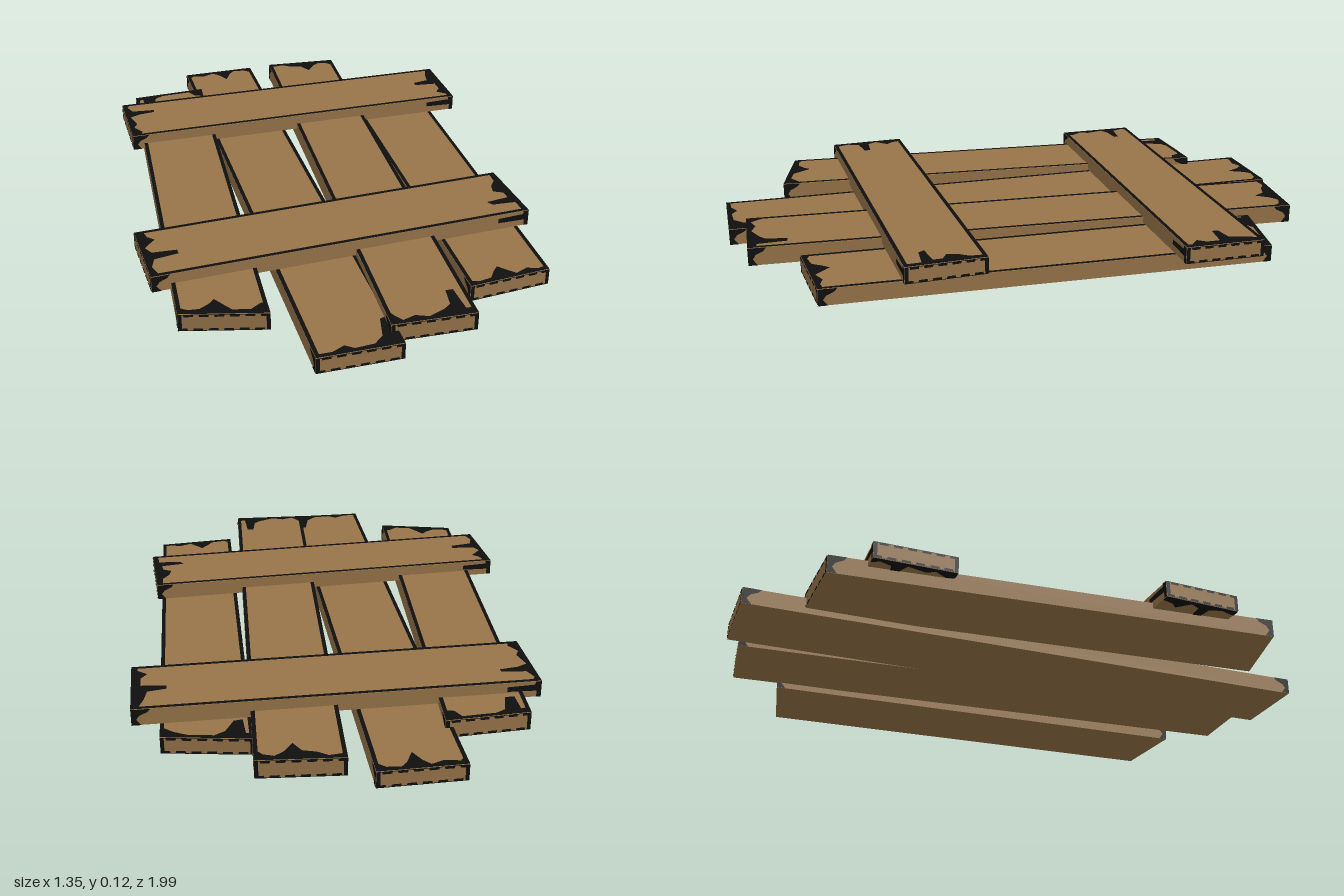
import * as THREE from 'three';
import { mergeGeometries } from 'three/addons/utils/BufferGeometryUtils.js';

const wood = new THREE.MeshStandardMaterial({ color: 0x98754a });
wood.name = 'brown wood';
const char = new THREE.MeshStandardMaterial({ color: 0x0f0f0f });
char.name = 'black edge';

// Black ribbon on a quad face, growing inward from the edge q[0]-q[1].
// profile: [position along the edge 0..1, depth in units]
function ribbon(q, profile) {
  const [s, e, fe, fs] = q;
  const normal = e.clone().sub(s).cross(fs.clone().sub(s)).normalize();
  const pos = [], nor = [], index = [];
  profile.forEach(([u, depth], i) => {
    const near = s.clone().lerp(e, u);
    const far = fs.clone().lerp(fe, u);
    const inner = near.clone().lerp(far, depth / near.distanceTo(far));
    for (const p of [near, inner]) {
      p.addScaledVector(normal, 0.0015);
      pos.push(p.x, p.y, p.z);
      nor.push(normal.x, normal.y, normal.z);
    }
    if (i) {
      const k = 2 * i;
      index.push(k - 2, k, k + 1, k - 2, k + 1, k - 1);
    }
  });
  const g = new THREE.BufferGeometry();
  g.setAttribute('position', new THREE.Float32BufferAttribute(pos, 3));
  g.setAttribute('normal', new THREE.Float32BufferAttribute(nor, 3));
  g.setIndex(index);
  return g;
}

const turn = (q, k) => q.map((_, i) => q[(i + k) % 4]);
const flip = (profile) => profile.map(([u, d]) => [1 - u, d]).reverse();
const line = (d) => [[0, d], [1, d]];

// Broken outline used along the top and bottom of the cut ends
const dashes = [];
for (let i = 0; i < 6; i++) {
  const u = i / 6;
  dashes.push([u, 0.009], [u + 0.1, 0.009], [u + 0.105, 0.002], [u + 0.16, 0.002]);
}
dashes.push([1, 0.009]);
const sideWear = [[0, 0.03], [0.35, 0.015], [0.6, 0.025], [0.8, 0.05], [1, 0.06]];
const sideStreak = [[0, 0.015], [0.4, 0.015], [0.45, 0.11], [0.75, 0.11], [0.8, 0.02], [1, 0.02]];

// corners: back left, front left, front right, back right as [x, z]
// ends: worn profiles of the two cut ends; cross: the ends face left and right
function board(name, corners, y0, y1, ends, cross) {
  const group = new THREE.Group();
  group.name = name;
  const shape = new THREE.Shape(corners.map(([x, z]) => new THREE.Vector2(x, -z)));
  const body = new THREE.ExtrudeGeometry(shape, { depth: y1 - y0, bevelEnabled: false });
  body.rotateX(-Math.PI / 2).translate(0, y0, 0);
  const bodyMesh = new THREE.Mesh(body, wood);
  bodyMesh.name = name + 'Body';

  const top = corners.map(([x, z]) => new THREE.Vector3(x, y1, z));
  const low = corners.map(([x, z]) => new THREE.Vector3(x, y0, z));
  const endEdges = cross ? [0, 2] : [3, 1];
  const marks = [];
  for (let k = 0; k < 4; k++) {
    const n = (k + 1) % 4;
    const side = [low[k], low[n], top[n], top[k]];
    const end = endEdges.indexOf(k);
    if (end < 0) {
      // Long edges: thin outline above, wear near both ends of the side
      marks.push(ribbon(turn(top, k), line(0.013)));
      marks.push(ribbon(turn(side, 1), cross ? sideStreak : sideWear));
      marks.push(ribbon(turn(side, 3), flip(sideWear)));
    } else {
      // Cut ends: ragged wear above, frame on the end face
      const profile = k >= 2 ? flip(ends[end]) : ends[end];
      marks.push(ribbon(turn(top, k), profile));
      marks.push(ribbon(side, dashes), ribbon(turn(side, 2), dashes));
      marks.push(ribbon(turn(side, 1), line(0.012)), ribbon(turn(side, 3), line(0.012)));
      // Underside of the overhanging cross boards
      if (cross) marks.push(ribbon([low[n], low[k], low[(k + 3) % 4], low[(k + 2) % 4]], flip(profile)));
    }
  }
  const edgeMesh = new THREE.Mesh(mergeGeometries(marks), char);
  edgeMesh.name = name + 'WornEdges';
  group.add(bodyMesh, edgeMesh);
  return group;
}

export function createModel() {
  const model = new THREE.Group();
  model.name = 'plankPanel';

  // Four long planks at alternating heights
  model.add(
    board('outerRightPlank', [[-0.55, -0.77], [-0.605, 0.72], [-0.335, 0.78], [-0.28, -0.79]], 0.02, 0.08, [
      [[0, 0.03], [0.1, 0.025], [0.12, 0.1], [0.23, 0.1], [0.29, 0.03], [0.4, 0.015], [0.8, 0.015], [0.87, 0.05], [1, 0.06]],
      [[0, 0.035], [0.12, 0.02], [0.25, 0.025], [0.36, 0.05], [0.43, 0.075], [0.52, 0.045], [0.6, 0.02], [0.8, 0.02], [0.92, 0.05], [1, 0.06]],
    ]),
    board('innerRightPlank', [[-0.31, -0.99], [-0.25, 0.99], [0.02, 0.985], [-0.035, -1]], 0, 0.055, [
      [[0, 0.05], [0.08, 0.02], [0.25, 0.03], [0.4, 0.015], [0.48, 0.04], [0.56, 0.085], [0.65, 0.035], [0.72, 0.015], [0.88, 0.02], [1, 0.05]],
      [[0, 0.015], [0.2, 0.015], [0.35, 0.035], [0.45, 0.015], [0.68, 0.02], [0.8, 0.05], [0.87, 0.13], [1, 0.14]],
    ]),
    board('innerLeftPlank', [[0.04, -0.955], [-0.005, 0.925], [0.265, 0.93], [0.31, -0.94]], 0.02, 0.08, [
      [[0, 0.025], [0.2, 0.015], [0.32, 0.035], [0.48, 0.045], [0.57, 0.085], [0.68, 0.04], [0.78, 0.02], [0.9, 0.03], [1, 0.06]],
      [[0, 0.08], [0.08, 0.04], [0.15, 0.015], [0.3, 0.03], [0.45, 0.015], [0.65, 0.04], [0.74, 0.06], [0.77, 0.13], [0.86, 0.13], [0.89, 0.03], [1, 0.03]],
    ]),
    board('outerLeftPlank', [[0.3, -0.785], [0.305, 0.765], [0.58, 0.735], [0.58, -0.745]], 0, 0.055, [
      [[0, 0.03], [0.08, 0.03], [0.1, 0.11], [0.2, 0.1], [0.3, 0.04], [0.42, 0.015], [0.7, 0.015], [0.85, 0.03], [1, 0.06]],
      [[0, 0.03], [0.12, 0.015], [0.28, 0.02], [0.36, 0.05], [0.43, 0.07], [0.52, 0.04], [0.6, 0.015], [0.75, 0.03], [0.88, 0.015], [1, 0.02]],
    ])
  );

  // Two slanted boards across the top
  model.add(
    board('backCrossBoard', [[-0.615, -0.645], [-0.605, -0.375], [0.67, -0.41], [0.665, -0.675]], 0.06, 0.115, [
      [[0, 0.03], [0.1, 0.015], [0.24, 0.03], [0.27, 0.11], [0.33, 0.11], [0.36, 0.05], [0.42, 0.015], [0.65, 0.03], [0.75, 0.015], [0.9, 0.04], [1, 0.03]],
      [[0, 0.02], [0.2, 0.04], [0.38, 0.05], [0.42, 0.11], [0.5, 0.11], [0.53, 0.03], [0.7, 0.03], [0.8, 0.05], [0.9, 0.02], [1, 0.02]],
    ], true),
    board('frontCrossBoard', [[-0.68, 0.295], [-0.66, 0.56], [0.615, 0.475], [0.595, 0.21]], 0.06, 0.115, [
      [[0, 0.025], [0.15, 0.035], [0.23, 0.055], [0.32, 0.03], [0.38, 0.015], [0.5, 0.03], [0.53, 0.11], [0.61, 0.11], [0.65, 0.03], [0.8, 0.015], [1, 0.03]],
      [[0, 0.02], [0.2, 0.025], [0.32, 0.05], [0.45, 0.06], [0.52, 0.03], [0.64, 0.03], [0.67, 0.11], [0.75, 0.1], [0.78, 0.02], [1, 0.02]],
    ], true)
  );
  return model;
}
